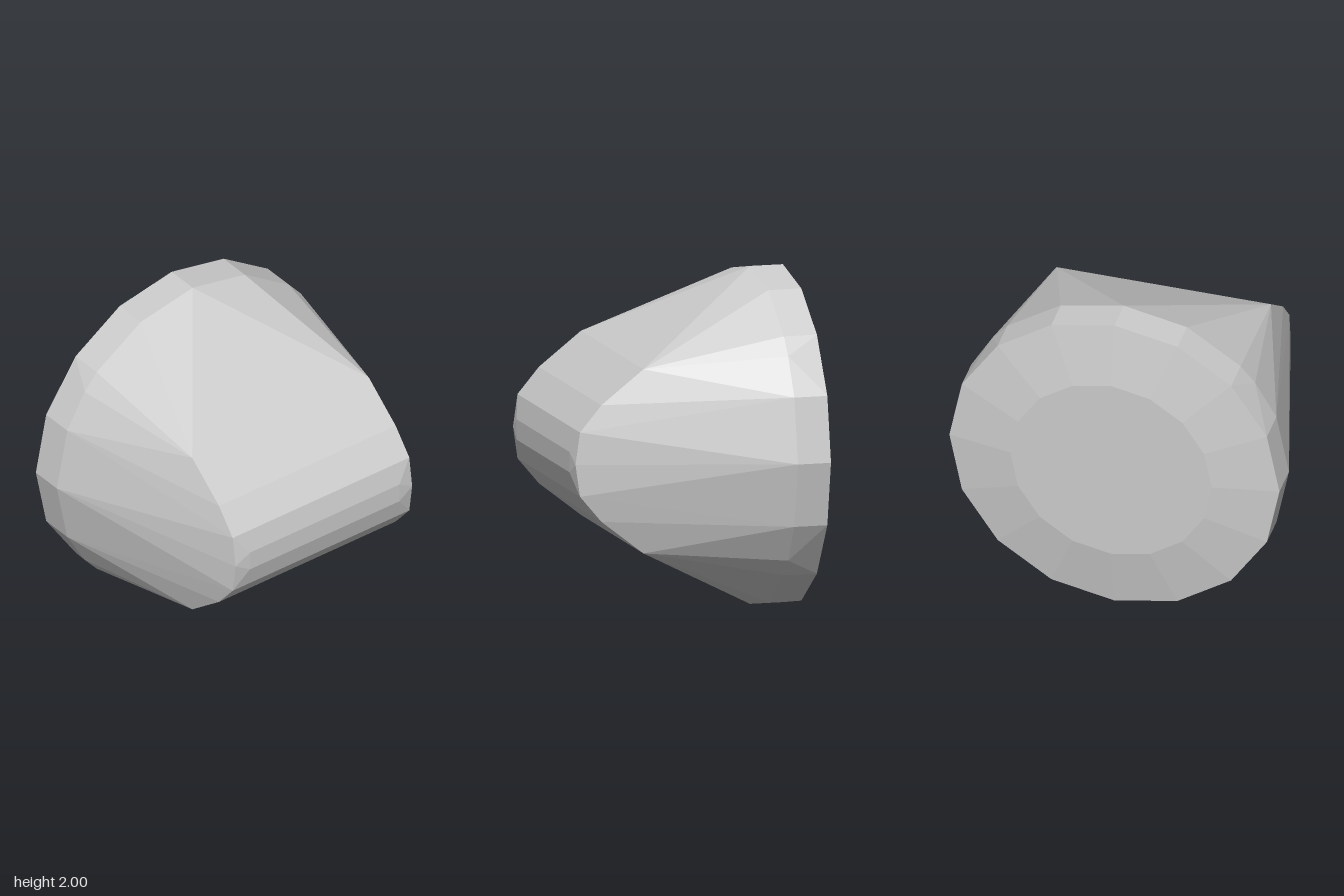
import * as THREE from 'three';
import { ConvexGeometry } from 'three/addons/geometries/ConvexGeometry.js';

const CY = 1; // height of the central axis

// Regular sixteen-sided ring around the z axis
function ring(radius, z) {
  return Array.from({ length: 16 }, (_, i) => {
    const a = (i * Math.PI) / 8;
    return new THREE.Vector3(radius * Math.cos(a), CY + radius * Math.sin(a), z);
  });
}

export function createModel() {
  const group = new THREE.Group();
  group.name = 'wedgeKnob';

  // Straight rim band and bevelled back disc
  const points = [...ring(1, -0.49), ...ring(1, -0.69), ...ring(0.61, -0.76)];

  // Rounded front bar: half width, height from the axis, depth
  const bar = [
    [0.65, 0.545, 0.345],
    [0.65, 0.345, 0.6],
    [0.65, 0.19, 0.73],
    [0.55, 0.06, 0.765],
    [0.65, 0, 0.757],
  ];
  // Extra corner on the diagonal of the rim
  const shoulder = [0.795, 0.605, -0.49];

  // Mirror left to right and top to bottom
  for (const [x, y, z] of [...bar, shoulder]) {
    for (const sx of [-1, 1]) {
      for (const sy of y === 0 ? [1] : [-1, 1]) {
        points.push(new THREE.Vector3(sx * x, CY + sy * y, z));
      }
    }
  }

  const body = new THREE.Mesh(
    new ConvexGeometry(points),
    new THREE.MeshStandardMaterial({ color: 0xcccccc, flatShading: true })
  );
  body.name = 'facetedBody';
  group.add(body);
  return group;
}
